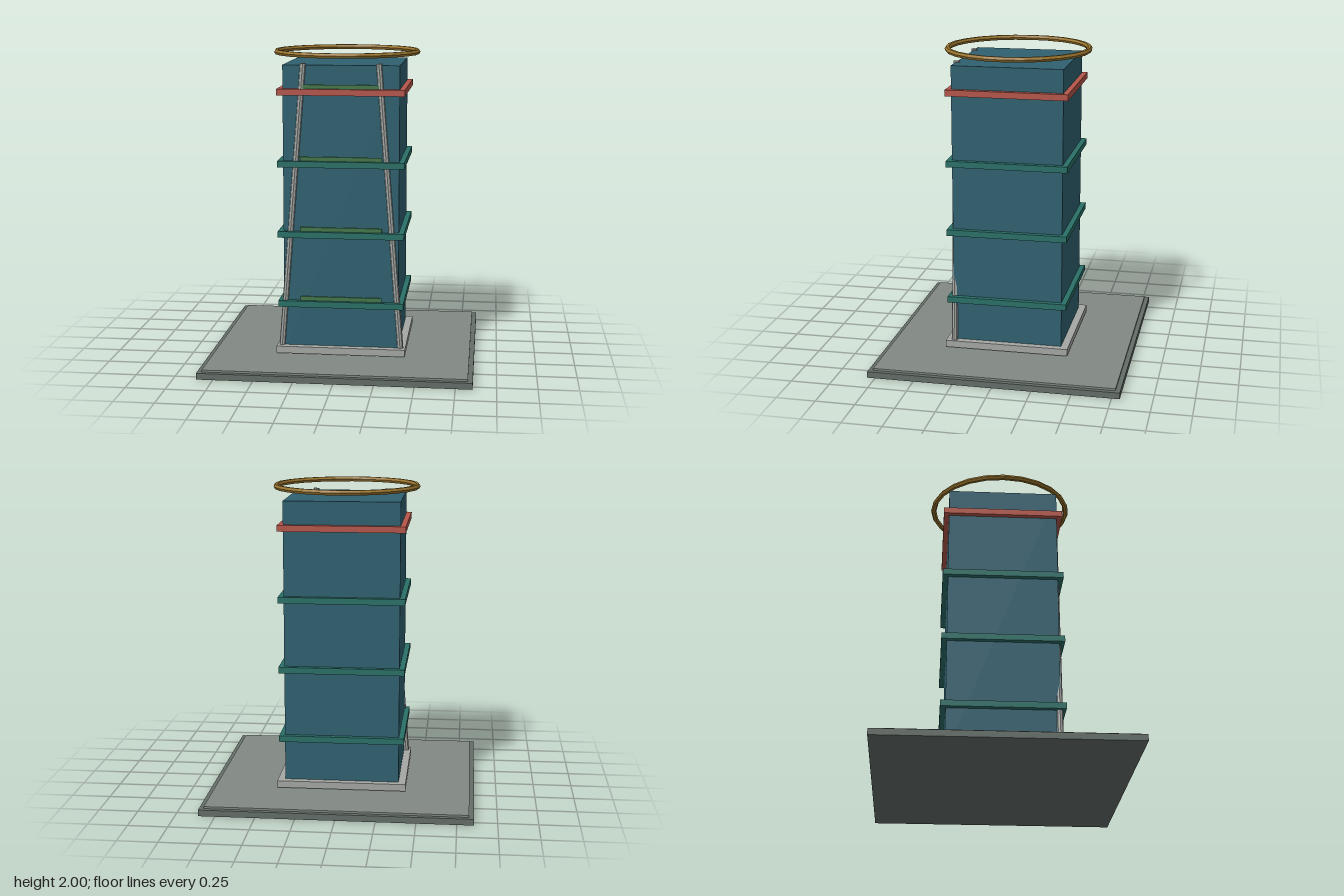
import * as THREE from 'three';

export function createModel() {
  const model = new THREE.Group();
  const mat = (color) => new THREE.MeshStandardMaterial({ color, flatShading: true });
  const paving = mat(0x828a84), kerb = mat(0x646e68), stone = mat(0xa5a8a5);
  const glass = mat(0x2f6170), teal = mat(0x2a7068), red = mat(0xb5564a);
  const green = mat(0x42774a), bronze = mat(0x9c762f);

  const add = (name, geometry, material, x = 0, y = 0, z = 0) => {
    const mesh = new THREE.Mesh(geometry, material);
    mesh.name = name;
    mesh.position.set(x, y, z);
    model.add(mesh);
    return mesh;
  };
  // Box given by its width, depth and bottom and top heights
  const slab = (name, w, d, y0, y1, material, z = 0) =>
    add(name, new THREE.BoxGeometry(w, y1 - y0, d), material, 0, (y0 + y1) / 2, z);

  // Stepped ground and tower body
  slab('groundSlab', 1.71, 1.6, 0, 0.04, kerb);
  slab('plaza', 1.65, 1.54, 0.04, 0.053, paving);
  slab('towerBody', 0.736, 0.71, 0.053, 1.92, glass);
  slab('plinth', 0.83, 0.805, 0.065, 0.11, stone);

  // Ledges around the tower, each with a planting strip at the front
  [0.39, 0.844, 1.297, 1.752].forEach((y, i) => {
    slab('ledge' + (i + 1), 0.804, 0.778, y - 0.02, y + 0.02, i === 3 ? red : teal);
    slab('plantingStrip' + (i + 1), 0.52, 0.03, y + 0.02, y + 0.046, green, 0.35);
  });

  // Slender columns leaning inward across the front
  for (const side of [-1, 1]) {
    const foot = new THREE.Vector3(side * 0.384, 0.09, 0.349);
    const head = new THREE.Vector3(side * 0.238, 1.93, 0.349);
    const axis = head.clone().sub(foot);
    const column = add(side > 0 ? 'leftColumn' : 'rightColumn',
      new THREE.CylinderGeometry(0.02, 0.02, axis.length(), 8), stone);
    column.position.copy(foot).add(head).multiplyScalar(0.5);
    column.quaternion.setFromUnitVectors(new THREE.Vector3(0, 1, 0), axis.normalize());
  }

  // Ring floating above the roof
  const ring = add('crownRing', new THREE.TorusGeometry(0.456, 0.018, 6, 24), bronze, 0, 1.984, 0);
  ring.rotation.x = Math.PI / 2;

  return model;
}
